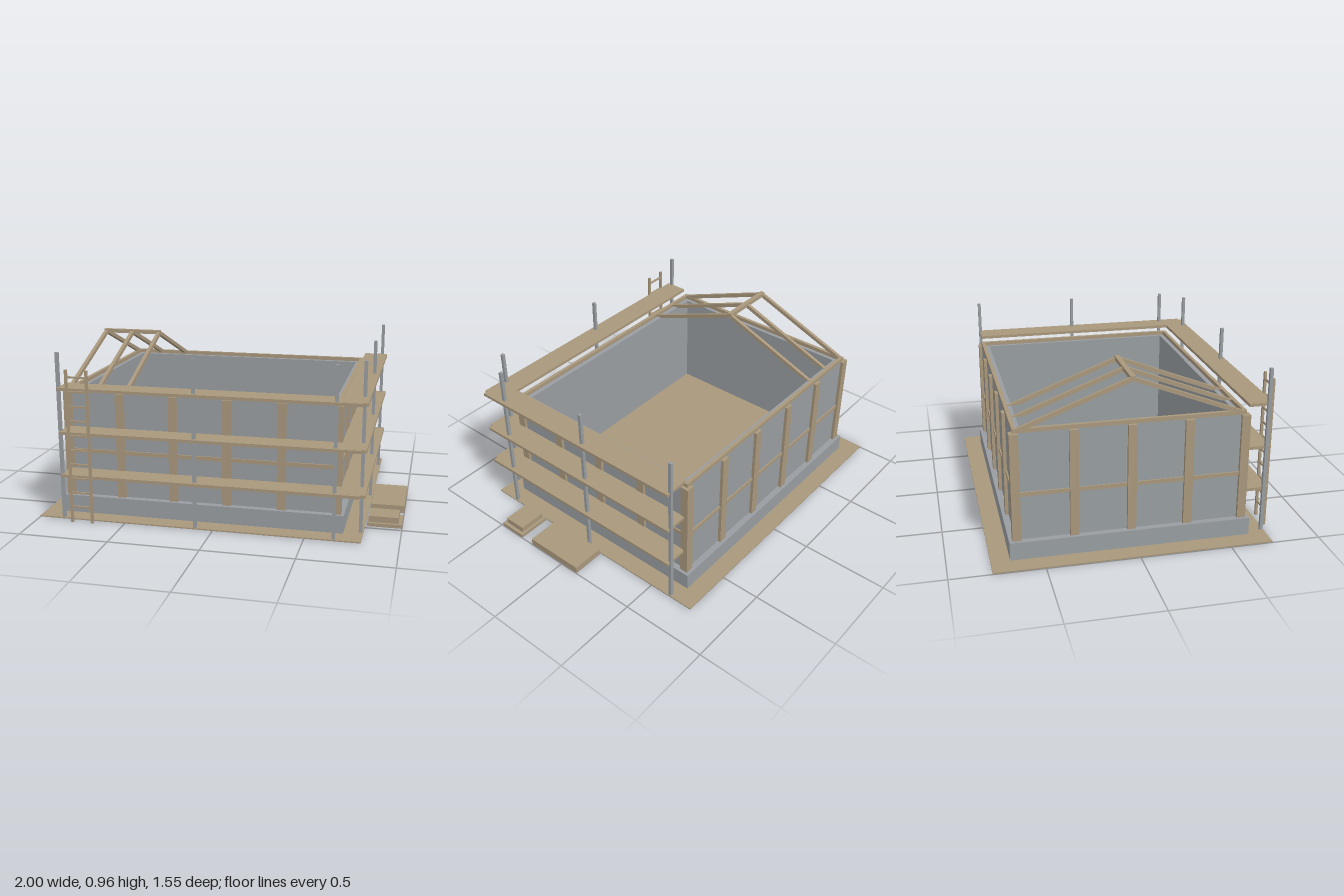
import * as THREE from 'three';

export function createModel() {
  const model = new THREE.Group();
  const wood = new THREE.MeshStandardMaterial({ color: 0xa8977c });
  wood.name = 'wood';
  const concrete = new THREE.MeshStandardMaterial({ color: 0x989da1 });
  concrete.name = 'concreteGrey';

  const group = (name, parent = model) => {
    const g = new THREE.Group();
    g.name = name;
    parent.add(g);
    return g;
  };
  // box given by its min and max on each axis
  const box = (parent, name, mat, x0, x1, y0, y1, z0, z1) => {
    const m = new THREE.Mesh(new THREE.BoxGeometry(x1 - x0, y1 - y0, z1 - z0), mat);
    m.name = name;
    m.position.set((x0 + x1) / 2, (y0 + y1) / 2, (z0 + z1) / 2);
    parent.add(m);
    return m;
  };
  // rectangular ring around the y axis, given by half sizes
  const ring = (parent, name, mat, ox, oz, ix, iz, y0, y1) => {
    const rect = (Type, a, b) => {
      const p = new Type();
      p.moveTo(-a, -b);
      p.lineTo(a, -b);
      p.lineTo(a, b);
      p.lineTo(-a, b);
      p.closePath();
      return p;
    };
    const s = rect(THREE.Shape, ox, oz);
    s.holes.push(rect(THREE.Path, ix, iz));
    const geo = new THREE.ExtrudeGeometry(s, { depth: y1 - y0, bevelEnabled: false });
    geo.rotateX(-Math.PI / 2);
    const m = new THREE.Mesh(geo, mat);
    m.name = name;
    m.position.y = y0;
    parent.add(m);
  };

  box(model, 'groundPlate', wood, -1, 0.8, 0.001, 0.008, -0.775, 0.733);

  // building shell
  const house = group('building');
  house.position.set(-0.1, 0, -0.02);
  ring(house, 'foundation', concrete, 0.797, 0.653, 0.72, 0.57, 0, 0.107);
  box(house, 'floor', wood, -0.72, 0.72, 0.002, 0.108, -0.57, 0.57);
  ring(house, 'walls', concrete, 0.762, 0.617, 0.72, 0.57, 0.107, 0.702);
  ring(house, 'topPlate', wood, 0.762, 0.617, 0.742, 0.597, 0.702, 0.724);
  ring(house, 'midRail', wood, 0.77, 0.625, 0.75, 0.605, 0.355, 0.377);

  // wall posts
  const posts = group('wallPosts', house);
  const w = 0.047, h = w / 2;
  for (let i = 0; i < 6; i++) {
    const x = -0.78 + h + i * (1.56 - w) / 5;
    for (const s of [-1, 1]) {
      const z = s * (0.635 - h);
      box(posts, 'post', wood, x - h, x + h, 0.107, 0.702, z - h, z + h);
    }
  }
  for (let i = 1; i < 4; i++) {
    const z = -0.635 + h + i * (1.27 - w) / 4;
    for (const s of [-1, 1]) {
      const x = s * (0.78 - h);
      box(posts, 'post', wood, x - h, x + h, 0.107, 0.702, z - h, z + h);
    }
  }

  // unfinished roof: three rafter pairs and a ridge beam
  const roof = group('roofFrame', house);
  const rafter = new THREE.Shape([
    [-0.597, 0.724], [0, 0.955], [0.597, 0.724], [0.535, 0.724], [0, 0.931], [-0.535, 0.724],
  ].map(([a, b]) => new THREE.Vector2(a, b)));
  const rafterGeo = new THREE.ExtrudeGeometry(rafter, { depth: 0.02, bevelEnabled: false });
  rafterGeo.rotateY(Math.PI / 2);
  for (const x of [-0.764, -0.598, -0.43]) {
    const m = new THREE.Mesh(rafterGeo, wood);
    m.name = 'rafterPair';
    m.position.x = x;
    roof.add(m);
  }
  box(roof, 'ridgeBeam', wood, -0.764, -0.41, 0.936, 0.958, -0.014, 0.014);

  // scaffold poles and decks
  const scaffold = group('scaffold');
  for (const [x, z] of [[-0.858, 0.72], [-0.1, 0.72], [0.655, 0.72],
    [0.786, 0.59], [0.786, -0.018], [0.786, -0.63]]) {
    box(scaffold, 'pole', concrete, x - 0.009, x + 0.009, 0.004, 0.945, z - 0.009, z + 0.009);
  }
  for (const y of [0.248, 0.492, 0.738]) {
    box(scaffold, 'frontDeck', wood, -0.857, 0.79, y, y + 0.017, 0.612, 0.747);
    box(scaffold, 'sideDeck', wood, 0.677, 0.816, y + 0.0005, y + 0.0175, -0.632, 0.732);
  }

  // ladder
  const ladder = group('ladder');
  for (const x of [-0.792, -0.676]) {
    box(ladder, 'ladderRail', wood, x - 0.007, x + 0.007, 0, 0.862, 0.758, 0.772);
  }
  for (let i = 0; i < 10; i++) {
    const y = 0.09 + i * 0.0812;
    box(ladder, 'rung', wood, -0.79, -0.678, y - 0.005, y + 0.005, 0.76, 0.77);
  }

  // stacked boards on the ground
  const boards = group('boardStacks');
  box(boards, 'largeBoardLower', wood, 0.81, 1, 0.004, 0.024, -0.12, 0.238);
  box(boards, 'largeBoardUpper', wood, 0.81, 1, 0.024, 0.046, -0.12, 0.238);
  box(boards, 'smallBoardLower', wood, 0.81, 1, 0.004, 0.024, 0.322, 0.484);
  box(boards, 'smallBoardUpper', wood, 0.818, 0.98, 0.024, 0.058, 0.338, 0.468);

  return model;
}
